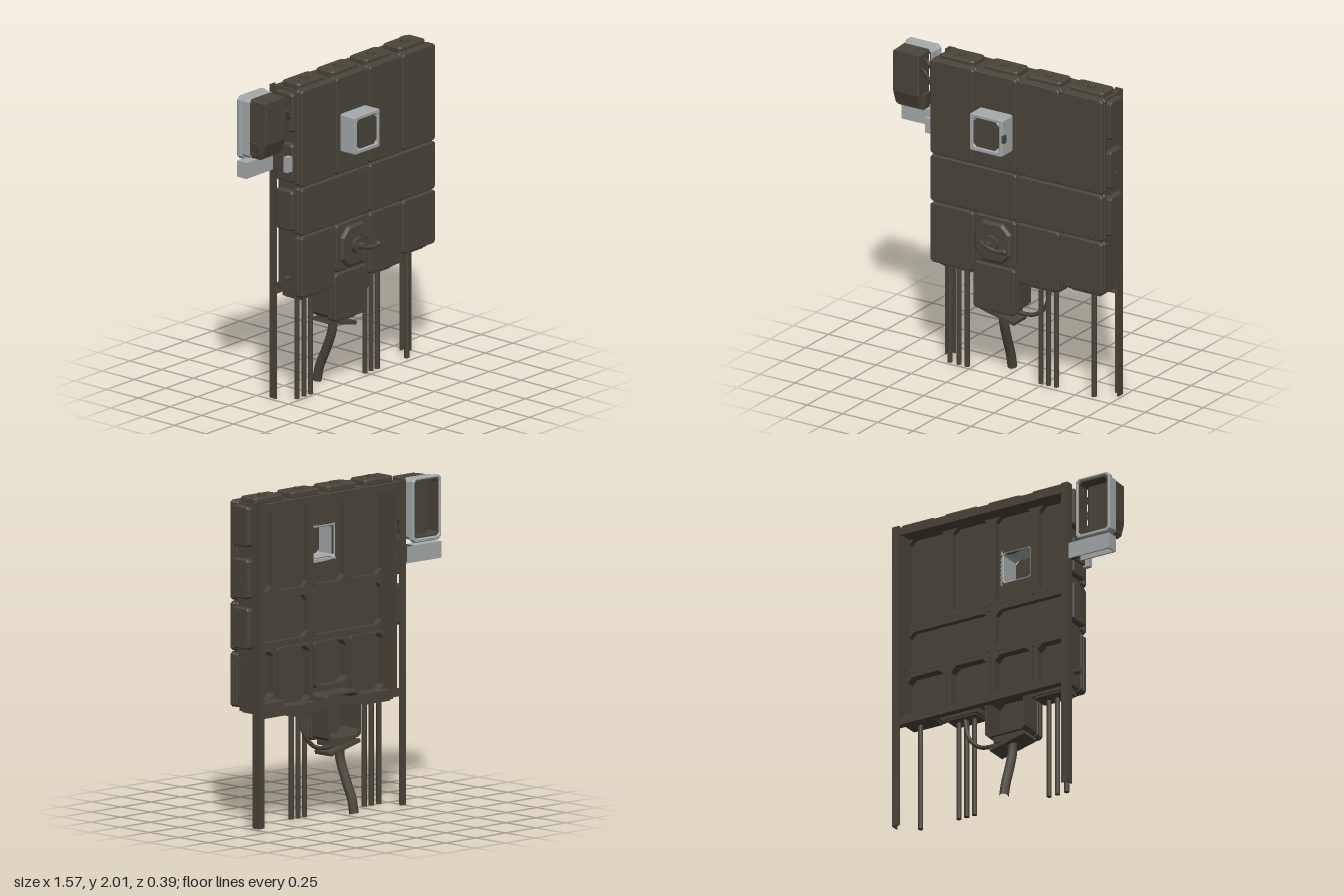
import * as THREE from 'three';

export function createModel() {
  const root = new THREE.Group();
  root.name = 'switchboard';
  const dark = new THREE.MeshStandardMaterial({ color: 0x4a453a });
  dark.name = 'weathered dark iron';
  const light = new THREE.MeshStandardMaterial({ color: 0xa5a9a9 });
  light.name = 'pale grey metal';

  const add = (parent, name, geo, mat = dark) => {
    const mesh = new THREE.Mesh(geo, mat);
    mesh.name = name;
    parent.add(mesh);
    return mesh;
  };
  // box given by its two extreme corners
  const block = (parent, name, x0, x1, y0, y1, z0, z1, mat = dark) => {
    const mesh = add(parent, name, new THREE.BoxGeometry(x1 - x0, y1 - y0, z1 - z0), mat);
    mesh.position.set((x0 + x1) / 2, (y0 + y1) / 2, (z0 + z1) / 2);
    return mesh;
  };
  const polygon = (points, Type = THREE.Shape) => new Type(points.map(([x, y]) => new THREE.Vector2(x, y)));
  // rectangle with cut corners
  const outline = (x0, x1, y0, y1, c, Type) => polygon([
    [x0 + c, y0], [x1 - c, y0], [x1, y0 + c], [x1, y1 - c],
    [x1 - c, y1], [x0 + c, y1], [x0, y1 - c], [x0, y0 + c],
  ], Type);
  const withHole = (shape, ...hole) => {
    shape.holes.push(outline(...hole, THREE.Path));
    return shape;
  };
  // extrusion from z0 to z1, optionally with a bevel inside the outline
  const slab = (parent, name, shape, z0, z1, bevel = 0, mat = dark) => {
    const geo = new THREE.ExtrudeGeometry(shape, {
      depth: z1 - z0 - 2 * bevel, bevelEnabled: bevel > 0, bevelSize: bevel,
      bevelThickness: bevel, bevelOffset: -bevel, bevelSegments: 1,
    });
    geo.translate(0, 0, z0 + bevel);
    return add(parent, name, geo, mat);
  };
  const rod = (parent, name, x, y, z, r, len, axis, sides = 10) => {
    const mesh = add(parent, name, new THREE.CylinderGeometry(r, r, len, sides));
    if (axis === 'z') mesh.rotation.x = Math.PI / 2;
    if (axis === 'x') mesh.rotation.z = Math.PI / 2;
    mesh.position.set(x, y, z);
    return mesh;
  };
  const tube = (parent, name, pts, r) => add(parent, name, new THREE.TubeGeometry(
    new THREE.CatmullRomCurve3(pts.map((p) => new THREE.Vector3(...p))), 24, r, 10));

  // cast box, open at the back, with a bevelled screwed lid
  const castBox = (name, x0, x1, y0, y1, back, window) => {
    const g = new THREE.Group();
    g.name = name;
    root.add(g);
    const i = 0.008, t = 0.02;
    const hole = [x0 + t, x1 - t, y0 + t, y1 - t, 0.035];
    slab(g, 'walls', withHole(outline(x0 + i, x1 - i, y0 + i, y1 - i, 0.02), ...hole), back, 0.045);
    slab(g, 'rim', withHole(outline(x0, x1, y0, y1, 0.014), ...hole), 0.022, 0.05, 0.005);
    const lid = outline(x0, x1, y0, y1, 0.014);
    if (window) withHole(lid, ...window, 0.005);
    slab(g, 'lid', lid, 0.05, 0.082, 0.006);
    for (const x of [x0 + 0.025, x1 - 0.025]) for (const y of [y0 + 0.025, y1 - 0.025])
      rod(g, 'screw', x, y, 0.083, 0.009, 0.012, 'z', 8);
  };

  const cols = [[-0.475, -0.168], [-0.16, 0.136], [0.144, 0.438], [0.446, 0.745]];
  const win = [-0.097, 0.085, 1.525, 1.713];
  cols.forEach(([a, b], k) => castBox('tallBox', a, b, 1.362, 1.965, 0.01, k === 1 ? win : null));
  castBox('wideBox', -0.475, 0.136, 1.057, 1.352, 0.01);
  castBox('wideBox', 0.144, 0.745, 1.057, 1.352, 0.01);
  castBox('lowerBox', ...cols[0], 0.665, 1.047, -0.01);
  castBox('switchBox', -0.16, 0.13, 0.75, 1.047, -0.01);
  castBox('lowerBox', ...cols[2], 0.665, 1.047, -0.01);
  castBox('lowerBox', ...cols[3], 0.715, 1.047, -0.01);
  castBox('cableBox', -0.17, 0.125, 0.44, 0.738, -0.11);

  // joints closing the seams between the boxes
  for (const [x, y0, y1] of [[-0.164, 1.36, 1.95], [0.14, 1.06, 1.95], [0.442, 1.36, 1.95],
    [-0.164, 0.68, 1.05], [0.137, 0.68, 1.05], [0.442, 0.73, 1.05]])
    block(root, 'verticalJoint', x - 0.016, x + 0.016, y0, y1, 0.012, 0.058);
  for (const y of [1.357, 1.052])
    block(root, 'crossJoint', -0.462, 0.732, y - 0.016, y + 0.016, 0.012, 0.058);
  block(root, 'crossJoint', -0.15, 0.115, 0.73, 0.76, 0.012, 0.058);

  // deep outer walls around the whole bank
  block(root, 'topWall', -0.463, 0.733, 1.943, 1.955, -0.11, 0.04);
  block(root, 'rightWall', -0.463, -0.451, 0.677, 1.955, -0.11, 0.04);
  block(root, 'leftWall', 0.721, 0.733, 0.727, 1.955, -0.11, 0.04);
  for (const [k, y] of [[0, 0.677], [2, 0.677], [3, 0.727]])
    block(root, 'bottomWall', cols[k][0] + 0.012, cols[k][1] - 0.012, y, y + 0.012, -0.11, 0.04);

  // flanged cover plates with round plugs on top
  for (const [a, b] of cols) {
    const c = (a + b) / 2;
    const top = slab(root, 'topCover', outline(-0.12, 0.12, -0.07, 0.07, 0.015), 0, 0.04, 0.008);
    top.rotation.x = -Math.PI / 2;
    top.position.set(c, 1.95, -0.038);
    rod(root, 'topPlug', c, 1.985, -0.035, 0.028, 0.03, 'y', 8);
    for (const s of [-1, 1]) rod(root, 'topScrew', c + s * 0.09, 1.988, -0.035, 0.007, 0.012, 'y', 6);
  }
  // cover plates on both flanks
  for (const [a, b] of [[1.7, 1.945], [1.385, 1.625], [1.08, 1.33]]) {
    for (const s of [-1, 1]) {
      const cover = slab(root, 'sideCover', outline(-0.07, 0.07, a, b, 0.015), 0, 0.045, 0.008);
      cover.rotation.y = s * Math.PI / 2;
      cover.position.set(s > 0 ? 0.73 : -0.458, 0, -0.035);
    }
  }
  rod(root, 'sidePlug', 0.774, 1.465, -0.035, 0.02, 0.016, 'x', 8);
  rod(root, 'sideStud', -0.482, 0.77, -0.03, 0.018, 0.04, 'x', 8);
  // covers under the lower boxes
  for (const [x, y] of [[-0.32, 0.665], [0.291, 0.665], [0.595, 0.715]]) {
    block(root, 'bottomCover', x - 0.115, x + 0.115, y - 0.025, y + 0.016, -0.105, 0.035);
    block(root, 'bottomRim', x - 0.1, x + 0.1, y - 0.035, y - 0.024, -0.095, 0.025);
  }

  // angle-iron frame
  const angle = (name, x0, x1, webX) => {
    block(root, name, x0, x1, 0, 1.965, -0.157, -0.149);
    block(root, name + 'Web', webX, webX + 0.008, 0, 1.965, -0.15, -0.105);
  };
  angle('rightPost', -0.492, -0.445, -0.492);
  angle('leftPost', 0.69, 0.74, 0.732);
  for (const [y, ledge] of [[1.905, 1.945], [0.66, 0.66]]) {
    block(root, 'rail', -0.48, 0.735, y, y + 0.05, -0.149, -0.141);
    block(root, 'railLedge', -0.48, 0.735, ledge, ledge + 0.01, -0.149, -0.105);
  }

  // projecting meter window: pale sleeve with a dark pane
  const meter = new THREE.Group();
  meter.name = 'meterWindow';
  root.add(meter);
  slab(meter, 'sleeve', withHole(outline(-0.122, 0.11, 1.5, 1.737, 0.008), ...win, 0.012), 0.05, 0.193, 0.004, light);
  slab(meter, 'pane', outline(-0.098, 0.08, 1.53, 1.714, 0.025), 0.182, 0.19);
  block(meter, 'catch', 0.105, 0.122, 1.59, 1.64, 0.165, 0.193);

  // rotary switch
  const sw = new THREE.Group();
  sw.name = 'rotarySwitch';
  root.add(sw);
  slab(sw, 'switchHousing', outline(-0.143, 0.115, 0.772, 1.028, 0.06), 0.078, 0.118, 0.015);
  rod(sw, 'hub', -0.015, 0.9, 0.13, 0.05, 0.03, 'z', 14);
  rod(sw, 'spindle', -0.015, 0.9, 0.155, 0.022, 0.06, 'z', 12);
  tube(sw, 'handle', [[-0.06, 0.915, 0.168], [-0.015, 0.897, 0.178], [0.05, 0.882, 0.18], [0.115, 0.885, 0.175]], 0.014);
  add(sw, 'handleKnob', new THREE.SphereGeometry(0.02, 12, 8)).position.set(0.112, 0.885, 0.175);
  rod(sw, 'button', 0.083, 0.93, 0.12, 0.016, 0.02, 'z');

  // tilted gland plate and main cable
  const gland = block(root, 'glandPlate', -0.125, 0.125, -0.011, 0.011, -0.07, 0.07);
  gland.rotation.z = -0.24;
  gland.position.set(-0.035, 0.395, -0.04);
  block(root, 'glandNeck', -0.14, 0.07, 0.41, 0.452, -0.09, 0.03);
  tube(root, 'mainCable', [[-0.04, 0.4, -0.05], [-0.04, 0.33, -0.055], [-0.045, 0.2, -0.1],
    [-0.05, 0.09, -0.145], [-0.05, 0, -0.165]], 0.029);
  tube(root, 'loopCable', [[-0.02, 0.42, -0.06], [0.08, 0.405, -0.065], [0.18, 0.42, -0.065],
    [0.26, 0.5, -0.06], [0.295, 0.65, -0.05]], 0.013);

  // conduits running to the ground
  for (const [x, z, h] of [[-0.4, -0.02, 0.66], [-0.336, -0.02, 0.66], [-0.277, -0.02, 0.66],
    [0.236, -0.035, 0.66], [0.291, -0.035, 0.66], [0.346, -0.035, 0.66], [0.615, -0.035, 0.71]])
    rod(root, 'conduit', x, h / 2, z, 0.016, h, 'y');

  // side unit: pale back tray, dark hollow housing with a sloping lower face
  const unit = new THREE.Group();
  unit.name = 'sideUnit';
  root.add(unit);
  const cavity = [-0.76, -0.575, 1.605, 1.937, 0.015];
  slab(unit, 'tray', withHole(outline(-0.787, -0.548, 1.572, 1.963, 0.02), -0.77, -0.565, 1.595, 1.947, 0.015), -0.16, -0.125, 0.005, light);
  slab(unit, 'collar', withHole(outline(-0.778, -0.557, 1.585, 1.957, 0.02), -0.769, -0.566, 1.596, 1.946, 0.015), -0.127, -0.07, 0, light);
  slab(unit, 'lining', withHole(outline(-0.769, -0.566, 1.596, 1.946, 0.015), ...cavity), -0.15, -0.07);
  const profile = polygon([[0.075, 1.595], [-0.02, 1.605], [-0.05, 1.69], [-0.05, 1.95], [0.075, 1.955]].reverse());
  const housing = slab(unit, 'housing', profile, 0, 0.185, 0.008);
  housing.rotation.y = Math.PI / 2;
  housing.position.x = -0.764;
  slab(unit, 'lowerHood', polygon([[-0.778, 1.69], [-0.755, 1.588], [-0.575, 1.588], [-0.558, 1.69]]), -0.07, 0.005, 0.005);
  slab(unit, 'housingPlate', outline(-0.735, -0.605, 1.8, 1.925, 0.005), 0.048, 0.054);

  // short wires from the side unit into the board
  for (const [y, z] of [[1.79, -0.02], [1.83, 0.005], [1.88, -0.03]])
    tube(unit, 'wire', [[-0.59, y + 0.02, z], [-0.545, y + 0.015, z + 0.02], [-0.52, y - 0.03, z + 0.01], [-0.46, y - 0.01, z]], 0.011);

  // carrying bracket under the side unit
  block(unit, 'bracketWeb', -0.785, -0.5, 1.458, 1.558, -0.16, -0.15, light);
  block(unit, 'bracketTop', -0.785, -0.55, 1.548, 1.558, -0.15, -0.085, light);
  block(unit, 'bracketFace', -0.785, -0.545, 1.458, 1.558, -0.095, -0.085, light);
  block(unit, 'bracketEnd', -0.785, -0.775, 1.458, 1.558, -0.15, -0.09, light);
  block(unit, 'bracketTab', -0.545, -0.495, 1.46, 1.555, 0, 0.03, light);
  block(unit, 'bracketMount', -0.548, -0.47, 1.47, 1.562, -0.155, -0.105);
  block(unit, 'bracketArm', -0.515, -0.495, 1.47, 1.55, -0.105, 0);
  return root;
}
